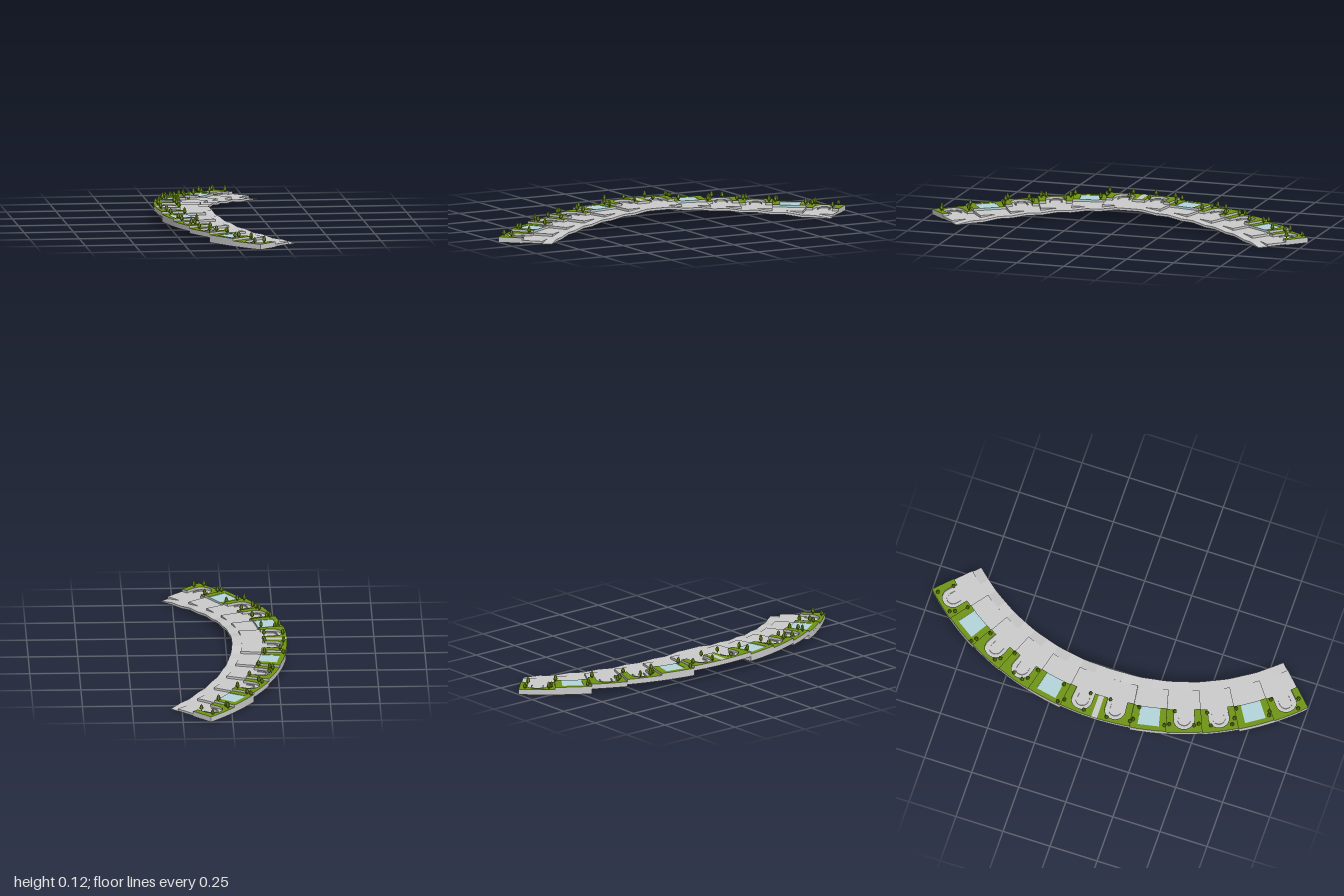
import * as THREE from 'three';

const CX = 1.109, DEG = Math.PI / 180, STEP = 7.5 * DEG;
const R_OUT = 1.414, R_GARDEN = 1.29, R_TERRACE = 1.185, R_IN = 1.135;
const ROAD = [0.073, 0.061, 0.05, 0.038, 0.027, 0.015, 0.003]; // level of each terrace, middle to end
const BASE = [0.06, 0.035, 0.035, 0.025, 0, 0];                // underside of each garden block
const RISE = 0.0125, SLAB = 0.012, RAMP = 4 * DEG, NOTCH = 0.052;

const mat = (color) => new THREE.MeshStandardMaterial({ color });
const grey = mat(0xcccccc), grass = mat(0x6f9410), water = mat(0xb4d6dc);
const leaf = new THREE.MeshStandardMaterial({ color: 0x6b8a0c, flatShading: true });

const polar = (r, a) => [CX - r * Math.cos(a), r * Math.sin(a)];

function add(parent, name, geometry, material) {
  const mesh = new THREE.Mesh(geometry, material);
  mesh.name = name;
  parent.add(mesh);
  return mesh;
}

// Curved block between two radii and two angles; top and bottom may slope along the arc
function sector(r0, r1, a0, a1, bottom, top, bottomEnd = bottom, topEnd = top) {
  const g = new THREE.BoxGeometry(1, 1, 1, 1, 1, Math.max(2, Math.ceil((a1 - a0) / (1.5 * DEG))));
  const p = g.attributes.position;
  for (let i = 0; i < p.count; i++) {
    const t = p.getZ(i) + 0.5;
    const [x, z] = polar(r1 - (p.getX(i) + 0.5) * (r1 - r0), a0 + t * (a1 - a0));
    const lo = bottom + (bottomEnd - bottom) * t, hi = top + (topEnd - top) * t;
    p.setXYZ(i, x, p.getY(i) < 0 ? lo : hi, z);
  }
  g.computeVertexNormals();
  return g;
}

// Flat plate from a plan outline of [x, z] points
function plate(points, y, height) {
  const shape = new THREE.Shape(points.map(([x, z]) => new THREE.Vector2(x, -z)));
  const g = new THREE.ExtrudeGeometry(shape, { depth: height, bevelEnabled: false });
  return g.rotateX(-Math.PI / 2).translate(0, y, 0);
}

// U outline opening towards the road, as [radius, sideways offset] about a middle angle
function uCurve(mid, half, rStart, rCentre, reverse) {
  const local = [[rStart, -half]];
  for (let i = 0; i <= 12; i++) {
    const t = Math.PI * (i / 12 - 0.5);
    local.push([rCentre + half * Math.cos(t), half * Math.sin(t)]);
  }
  local.push([rStart, half]);
  if (reverse) local.reverse();
  return local.map(([r, s]) => polar(r, mid + s / 1.34));
}

// Garden outline with a patio or pool cut out of its road side
function gardenOutline(a0, a1, mid, isPool) {
  const pts = [];
  for (let i = 0; i <= 8; i++) pts.push(polar(R_OUT, a0 + (a1 - a0) * i / 8));
  pts.push(polar(R_GARDEN, a1));
  if (isPool) {
    const w = NOTCH / 1.34;
    pts.push(polar(R_GARDEN, mid + w), polar(1.39, mid + w), polar(1.39, mid - w), polar(R_GARDEN, mid - w));
  } else pts.push(...uCurve(mid, NOTCH, R_GARDEN, 1.343, true));
  pts.push(polar(R_GARDEN, a0));
  return pts;
}

// One terrace: road, ramp, garden and patio or pool (built for the +z half)
function terrace(i) {
  const g = new THREE.Group();
  g.name = 'terrace';
  const a0 = i * STEP, a1 = a0 + STEP, mid = a0 + STEP / 2;
  const y = ROAD[i], next = ROAD[i + 1], isPool = i === 1 || i === 4;
  const under = (h) => Math.max(0, h - SLAB);

  add(g, 'terraceFloor', sector(R_TERRACE, R_GARDEN, a0, a1, under(y), y), grey);
  add(g, 'roadFlat', sector(R_IN, R_TERRACE, a0, a1 - RAMP, under(y), y), grey);
  add(g, 'roadRamp', sector(R_IN, R_TERRACE, a1 - RAMP, a1, under(y), y, under(next), next), grey);
  add(g, 'gardenBase', sector(R_GARDEN, R_OUT, a0, a1, BASE[i], y), grey);

  // The middle terraces leave room for a central path
  const start = i === 0 ? 0.6 * DEG : a0;
  if (i === 0) add(g, 'centralPath', sector(R_GARDEN, R_OUT, 0, start, y, y + RISE), grey);
  add(g, 'garden', plate(gardenOutline(start, a1, mid, isPool), y, RISE), [grass, grey]);

  if (isPool) {
    const w = NOTCH / 1.34;
    add(g, 'pool', sector(R_GARDEN, 1.39, mid - w, mid + w, y, y + RISE - 0.002), water);
  } else {
    const ring = [...uCurve(mid, 0.033, 1.315, 1.34, false), ...uCurve(mid, 0.027, 1.315, 1.34, true)];
    add(g, 'patioBench', plate(ring, y, 0.006), grey);
  }
  return g;
}

// Mirror a group to -z by moving its vertices and flipping the triangles
function mirrorZ(group) {
  group.traverse((o) => {
    if (!o.isMesh) return;
    const src = o.geometry;
    const g = src.index ? src.toNonIndexed() : src;
    for (const a of [g.attributes.position, g.attributes.normal]) {
      for (let i = 0; i < a.count; i++) a.setZ(i, -a.getZ(i));
      for (let i = 0; i < a.count; i += 3) {
        const b = [a.getX(i + 1), a.getY(i + 1), a.getZ(i + 1)];
        a.setXYZ(i + 1, a.getX(i + 2), a.getY(i + 2), a.getZ(i + 2));
        a.setXYZ(i + 2, ...b);
      }
    }
    o.geometry = g;
  });
  return group;
}

// Tree positions in plan, x and z
const TREES = [
  [0.1, -0.965], [0.155, -0.9], [0.02, -0.875], [0.03, -0.85], [0.065, -0.795], [-0.1, -0.72], [-0.08, -0.7],
  [-0.035, -0.64], [-0.16, -0.575], [-0.145, -0.55], [-0.1, -0.49], [-0.2, -0.46], [-0.22, -0.41],
  [-0.205, -0.385], [-0.15, -0.35], [-0.28, -0.2], [-0.265, -0.17], [-0.185, -0.2], [-0.19, -0.055],
  [-0.285, -0.06], [-0.285, 0.06], [-0.19, 0.05], [-0.27, 0.18], [-0.25, 0.19], [-0.18, 0.2],
  [-0.23, 0.35], [-0.215, 0.37], [-0.14, 0.375], [-0.18, 0.49], [-0.165, 0.51], [-0.09, 0.53],
  [-0.15, 0.57], [-0.11, 0.67], [-0.075, 0.67], [-0.02, 0.66], [0, 0.83], [0.02, 0.825], [0.085, 0.81],
  [0.085, 0.955], [0.135, 0.94],
];

export function createModel() {
  const model = new THREE.Group();
  model.name = 'terracedCrescent';
  for (let i = 0; i < 6; i++) model.add(terrace(i), mirrorZ(terrace(i)));

  // Faceted trees, varied by their place in the row
  const profile = [[0, 0], [0.003, 0], [0.0035, 0.006], [0.0105, 0.01], [0.011, 0.017], [0.007, 0.03], [0, 0.038]];
  const treeGeometry = new THREE.LatheGeometry(profile.map(([x, y]) => new THREE.Vector2(x, y)), 6);
  TREES.forEach(([x, z], k) => {
    const angle = Math.atan2(Math.abs(z), CX - x);
    const level = ROAD[Math.min(5, Math.floor(angle / STEP))] + RISE;
    const tree = add(model, 'tree', treeGeometry, leaf);
    tree.position.set(x, level - 0.001, z);
    tree.rotation.y = k * 1.7;
    const s = 0.85 + 0.12 * ((k * 7) % 5) / 2;
    tree.scale.set(0.9, s * 0.95, 0.9);
  });
  return model;
}
